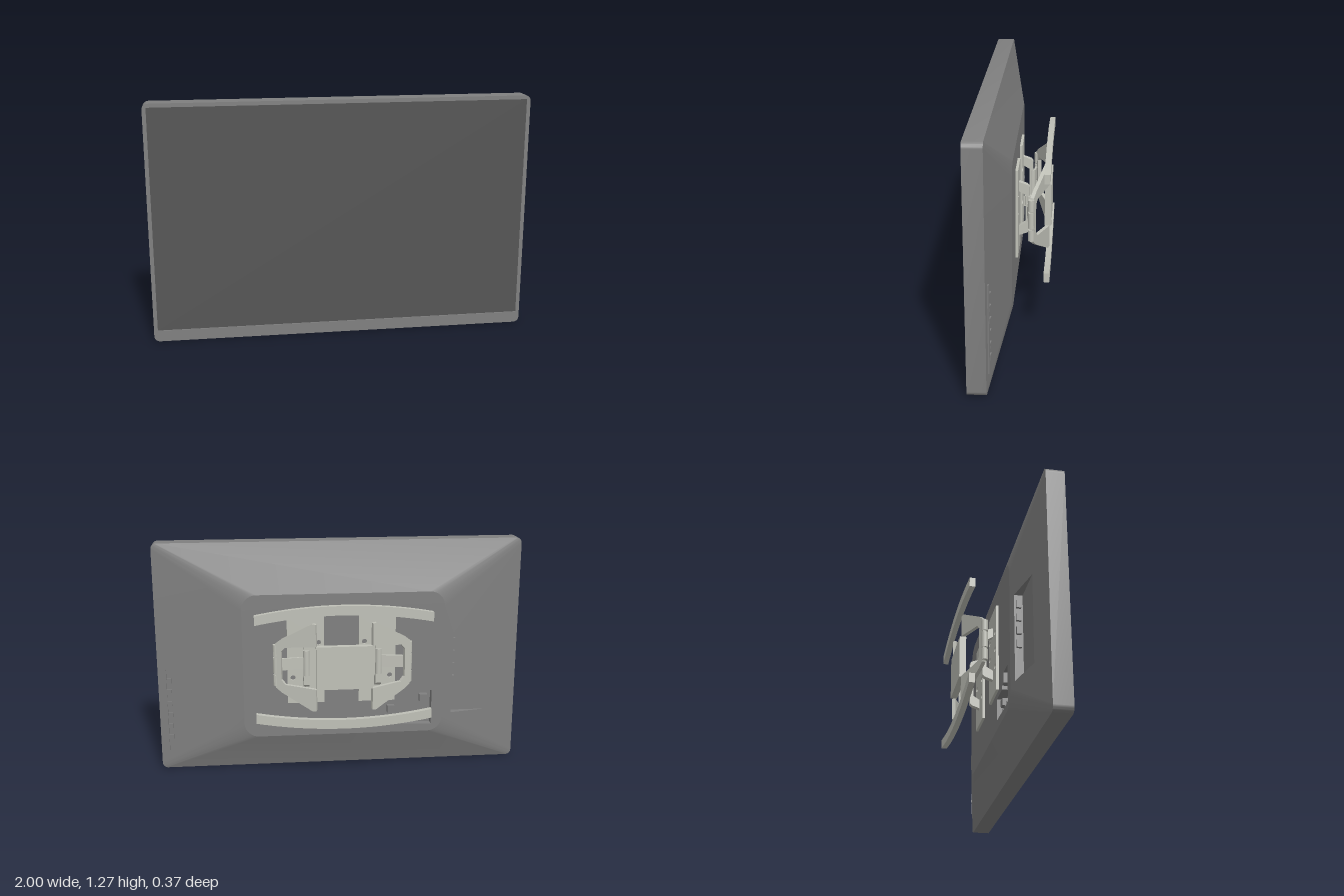
import * as THREE from 'three';
import { toCreasedNormals } from 'three/addons/utils/BufferGeometryUtils.js';

const casing = new THREE.MeshStandardMaterial({ color: 0x808080 });
casing.name = 'casing grey';
const glass = new THREE.MeshStandardMaterial({ color: 0x555555 });
glass.name = 'screen grey';
const metal = new THREE.MeshStandardMaterial({ color: 0xc0c1b8 });
metal.name = 'bracket metal';

const vec = (pts) => pts.map(([x, y]) => new THREE.Vector2(x, y));
const N = 8; // segments per rounded corner

function add(parent, name, geometry, material, x = 0, y = 0, z = 0) {
  const mesh = new THREE.Mesh(geometry, material);
  mesh.name = name;
  mesh.position.set(x, y, z);
  parent.add(mesh);
  return mesh;
}

function box(parent, name, material, x0, x1, y0, y1, z0, z1) {
  return add(parent, name, new THREE.BoxGeometry(x1 - x0, y1 - y0, z1 - z0), material,
    (x0 + x1) / 2, (y0 + y1) / 2, (z0 + z1) / 2);
}

// Counter-clockwise rounded rectangle, starting at the upper +x corner
function roundRect(x0, x1, y0, y1, r) {
  const centres = [[x1 - r, y1 - r], [x0 + r, y1 - r], [x0 + r, y0 + r], [x1 - r, y0 + r]];
  const pts = [];
  centres.forEach(([cx, cy], k) => {
    for (let i = 0; i <= N; i++) {
      const a = (k + i / N) * Math.PI / 2;
      pts.push([cx + r * Math.cos(a), cy + r * Math.sin(a)]);
    }
  });
  return pts;
}

function extrude(pts, depth, holes = []) {
  const shape = new THREE.Shape(vec(pts));
  holes.forEach((h) => shape.holes.push(new THREE.Path(vec(h))));
  return new THREE.ExtrudeGeometry(shape, { depth, bevelEnabled: false });
}

// Sheet facing -z whose depth follows zAt(x)
function backFace(pts, holes, zAt) {
  const flip = (list) => vec(list.map(([x, y]) => [-x, y]));
  const shape = new THREE.Shape(flip(pts));
  holes.forEach((h) => shape.holes.push(new THREE.Path(flip(h))));
  const geo = new THREE.ShapeGeometry(shape).rotateY(Math.PI);
  const p = geo.attributes.position;
  for (let i = 0; i < p.count; i++) p.setZ(i, zAt(p.getX(i)));
  geo.computeVertexNormals();
  return geo;
}

function soup(corners) {
  const geo = new THREE.BufferGeometry();
  geo.setAttribute('position', new THREE.Float32BufferAttribute(corners.flat(), 3));
  geo.computeVertexNormals();
  return geo;
}

// Walls and floor of a recess cut into the back
function pocket(parent, name, pts, zAt, floor) {
  const corners = [];
  pts.forEach(([ax, ay], i) => {
    const [bx, by] = pts[(i + 1) % pts.length];
    const a = [ax, ay, zAt(ax)], b = [bx, by, zAt(bx)];
    const af = [ax, ay, floor], bf = [bx, by, floor];
    corners.push(a, af, bf, a, bf, b);
  });
  add(parent, name + 'Walls', soup(corners), casing);
  add(parent, name + 'Floor', backFace(pts, [], () => floor), casing);
}

function buildDisplay() {
  const g = new THREE.Group();
  g.name = 'display';
  const outer = roundRect(-1, 1, 0, 1.27, 0.03);
  const inner = roundRect(-0.565, 0.535, 0.2, 1.0, 0.08);

  // Front frame with the screen set into it
  const opening = [[-0.98, 0.06], [0.98, 0.06], [0.98, 1.25], [-0.98, 1.25]];
  add(g, 'frame', toCreasedNormals(extrude(outer, 0.095, [opening]), 0.5), casing, 0, 0, 0.09);
  box(g, 'screen', glass, -0.98, 0.98, 0.06, 1.25, 0.171, 0.179);

  // Sloping back shell, leaving out the -x flank that carries a recess
  const corners = [];
  for (let i = 0; i < outer.length; i++) {
    if (i === 2 * N + 1) continue;
    const j = (i + 1) % outer.length;
    const a = [...outer[i], 0.09], b = [...outer[j], 0.09];
    const c = [...inner[j], 0], d = [...inner[i], 0];
    corners.push(a, c, b, a, d, c);
  }
  add(g, 'backSlopes', toCreasedNormals(soup(corners), 0.5), casing);

  // Flank with the side port recess
  const slope = (x) => 0.09 * (-0.565 - x) / 0.435;
  const sidePocket = [[-0.83, 0.3], [-0.62, 0.3], [-0.62, 0.765], [-0.83, 0.765]];
  const flank = [[-1, 0.03], [-0.565, 0.28], [-0.565, 0.92], [-1, 1.24]];
  add(g, 'sideFlank', backFace(flank, [sidePocket], slope), casing);
  pocket(g, 'sideRecess', sidePocket, slope, slope(-0.83));
  for (let i = 0; i < 4; i++) {
    const y = 0.71 - i * 0.072;
    box(g, 'sidePort', casing, -0.635, -0.62, y - 0.02, y + 0.02, 0.02, 0.045);
  }

  // Flat back with the lower port recess
  const flat = () => 0;
  const lowPocket = [[-0.505, 0.24], [-0.24, 0.25], [-0.24, 0.365], [-0.37, 0.365],
    [-0.37, 0.385], [-0.41, 0.385], [-0.41, 0.44], [-0.505, 0.44]];
  add(g, 'backPanel', backFace(inner, [lowPocket], flat), casing);
  pocket(g, 'lowerRecess', lowPocket, flat, 0.045);
  for (let i = 0; i < 4; i++) {
    add(g, 'jack', new THREE.CylinderGeometry(0.012, 0.012, 0.03, 16).rotateX(Math.PI / 2),
      casing, -0.31 - i * 0.05, 0.275, 0.03);
  }
  box(g, 'socket', casing, -0.3, -0.26, 0.31, 0.35, 0.015, 0.045);
  box(g, 'socket', casing, -0.485, -0.44, 0.37, 0.41, 0.015, 0.045);

  // Control buttons on the +x flank
  const tilt = Math.atan(0.09 / 0.465);
  box(g, 'buttonStrip', casing, 0.953, 0.968, 0.11, 0.58, 0.076, 0.084).rotation.y = -tilt;
  for (let i = 0; i < 6; i++) {
    const y = 0.515 - i * 0.065;
    box(g, 'button', casing, 0.926, 0.952, y - 0.014, y + 0.014, 0.071, 0.085).rotation.y = -tilt;
  }
  return g;
}

// One half of the folding bracket, on the +x side
function buildBracketSide() {
  const g = new THREE.Group();
  const disc = (x, y, r) => roundRect(x - r, x + r, y - r, y + r, r);

  // Plate screwed to the display
  const holes = [];
  for (const x of [0.125, 0.265]) for (const y of [0.54, 0.6375, 0.735]) holes.push(disc(x, y, 0.014));
  const plate = [[0.095, 0.395], [0.295, 0.395], [0.295, 0.88], [0.095, 0.88]];
  add(g, 'displayPlate', extrude(plate, 0.014, holes), metal, 0, 0, -0.015);

  // Handle-shaped post standing off the plate
  const post = [[0.01, 0.79], [0.06, 0.772], [0.07, 0.76], [0.07, 0.515], [0.06, 0.503], [0.01, 0.485],
    [0.01, 0.535], [0.05, 0.56], [0.05, 0.715], [0.01, 0.74]];
  add(g, 'post', extrude(post, 0.03).translate(0, 0, -0.015).rotateY(Math.PI / 2), metal, 0.195, 0, 0);
  add(g, 'postPin', new THREE.CylinderGeometry(0.017, 0.017, 0.14, 20), metal, 0.195, 0.6375, -0.065);

  // Link between post and arm
  const link = box(g, 'link', metal, 0.195, 0.365, 0.605, 0.67, -0.078, -0.066);
  link.rotation.y = Math.atan(0.022 / 0.17);

  // Open arm with two wings
  const arm = [[0, 0.875], [0.02, 0.878], [0.19, 0.785], [0.222, 0.76], [0.232, 0.73],
    [0.232, 0.545], [0.222, 0.515], [0.19, 0.49], [0.02, 0.397], [0, 0.4],
    [0, 0.52], [0.17, 0.535], [0.192, 0.56], [0.192, 0.715], [0.17, 0.74], [0, 0.755]];
  const armMesh = add(g, 'arm', extrude(arm, 0.02).translate(0, 0, -0.01), metal, 0.148, 0, -0.165);
  armMesh.rotation.y = -Math.atan(0.078 / 0.22);
  for (const [y, h] of [[0.72, 0.06], [0.6375, 0.085], [0.555, 0.06]]) {
    add(g, 'hinge', new THREE.CylinderGeometry(0.016, 0.016, h, 20), metal, 0.358, y, -0.086);
  }
  return g;
}

function buildBracket() {
  const g = new THREE.Group();
  g.name = 'wallBracket';

  // The two halves are half-turns of each other about the centre
  for (const turned of [false, true]) {
    const half = buildBracketSide();
    half.name = turned ? 'rightBracketHalf' : 'leftBracketHalf';
    if (turned) {
      half.rotation.z = Math.PI;
      half.position.y = 1.275;
    }
    g.add(half);
  }
  box(g, 'centrePlate', metal, -0.15, 0.15, 0.52, 0.755, -0.183, -0.148);

  // Bowed wall rails
  const rail = [];
  for (let i = 0; i <= 24; i++) rail.push([-0.47 + 0.94 * i / 24, 0]);
  const bow = (x) => 0.045 * (1 - (x / 0.47) ** 2);
  const lower = rail.map(([x]) => [x, 0.88 + bow(x)]);
  const upper = rail.map(([x]) => [x, 0.93 + bow(x)]).reverse();
  const railGeo = toCreasedNormals(extrude([...lower, ...upper], 0.03), 0.5);
  add(g, 'upperRail', railGeo, metal, 0, 0, -0.185);
  add(g, 'lowerRail', railGeo, metal, 0, 1.275, -0.185).rotation.z = Math.PI;
  return g;
}

export function createModel() {
  const model = new THREE.Group();
  model.name = 'wallMountedDisplay';
  model.add(buildDisplay(), buildBracket());
  return model;
}
